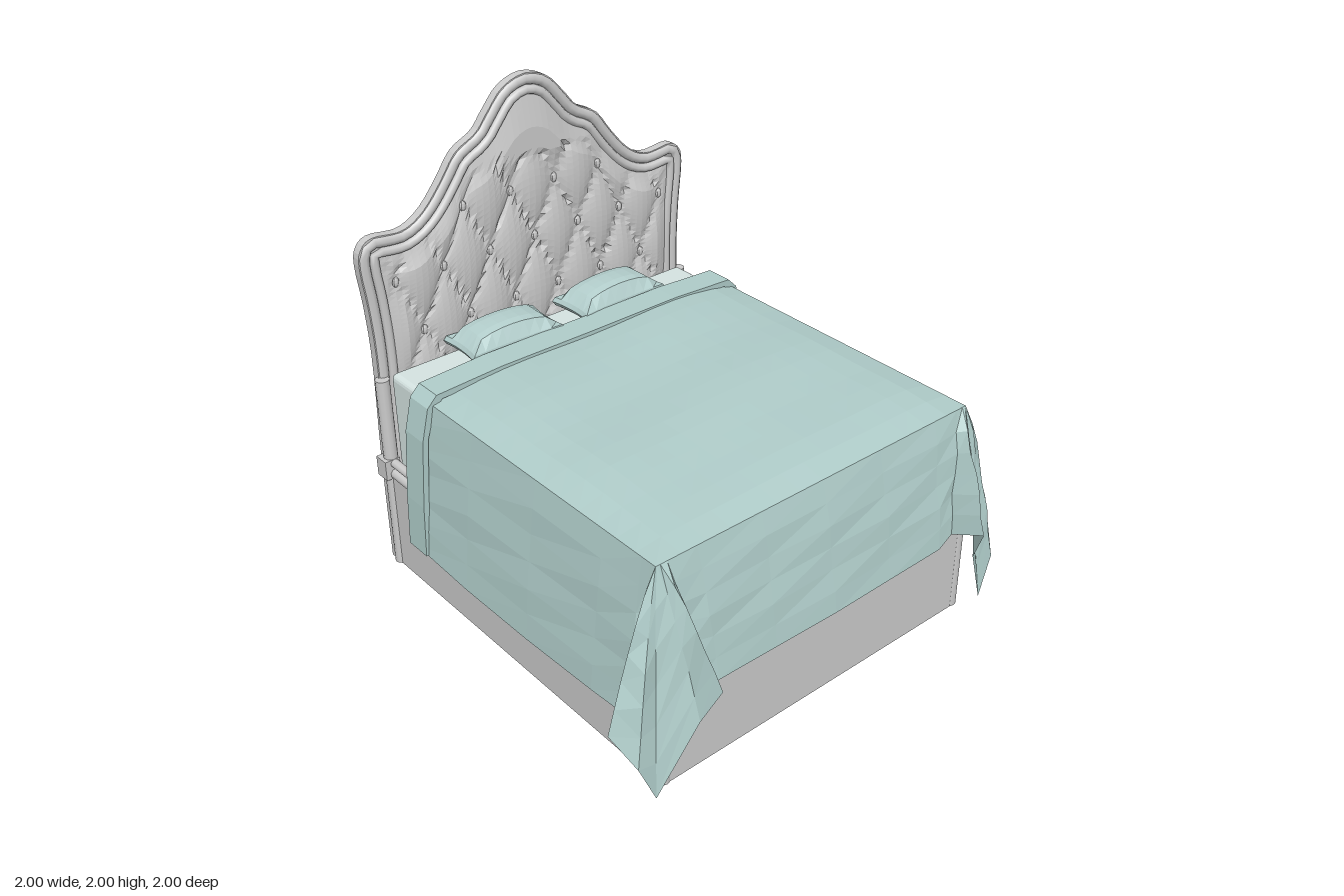
import * as THREE from 'three';
import { RoundedBoxGeometry } from 'three/addons/geometries/RoundedBoxGeometry.js';

const mat = (color, extra = {}) => new THREE.MeshStandardMaterial({ color, flatShading: true, ...extra });
const grey = mat(0xcccccc);
const greySoft = mat(0xcccccc, { flatShading: false });
const greyThin = mat(0xcccccc, { side: THREE.DoubleSide });
const cloth = mat(0xb0cdca, { side: THREE.DoubleSide });
const pillowCloth = mat(0xb4cfcd);
const sheet = mat(0xd6e4e2);

export function createModel() {
  const bed = new THREE.Group();
  bed.name = 'bed';

  const add = (name, geometry, material, x = 0, y = 0, z = 0) => {
    const mesh = new THREE.Mesh(geometry, material);
    mesh.name = name;
    mesh.position.set(x, y, z);
    bed.add(mesh);
    return mesh;
  };
  const box = (name, w, h, d, x, y, z, m = grey) => add(name, new THREE.BoxGeometry(w, h, d), m, x, y, z);

  // Grid surface: fn(i, j) returns the point at column i, row j
  const surface = (cols, rows, fn) => {
    const pos = [], idx = [];
    for (let j = 0; j <= rows; j++) for (let i = 0; i <= cols; i++) pos.push(...fn(i, j));
    for (let j = 0; j < rows; j++) for (let i = 0; i < cols; i++) {
      const a = j * (cols + 1) + i, b = a + 1, c = a + cols + 1, d = c + 1;
      idx.push(a, b, d, a, d, c);
    }
    const g = new THREE.BufferGeometry();
    g.setAttribute('position', new THREE.Float32BufferAttribute(pos, 3));
    g.setIndex(idx);
    g.computeVertexNormals();
    return g;
  };

  // Open-bottomed base with a slab inside
  box('footPanel', 1.56, 0.45, 0.05, 0, 0.225, 0.79);
  box('baseSlab', 1.52, 0.03, 1.74, 0, 0.45, -0.08);
  for (const s of [-1, 1]) {
    const side = s > 0 ? 'left' : 'right';
    box(side + 'SidePanel', 0.05, 0.45, 1.76, s * 0.775, 0.225, -0.09);
    add(side + 'FrontPost', new THREE.CylinderGeometry(0.035, 0.035, 0.45, 12), greySoft, s * 0.778, 0.225, 0.785);
    add(side + 'BackPost', new THREE.CylinderGeometry(0.03, 0.03, 0.9, 12), greySoft, s * 0.785, 0.45, -0.945);
    box(side + 'RailCollar', 0.07, 0.09, 0.07, s * 0.795, 0.485, -0.95);
    // Two stacked beads along the top of each side
    for (const [y, r] of [[0.46, 0.025], [0.51, 0.02]])
      add(side + 'RailBead', new THREE.CylinderGeometry(r, r, 1.74, 10).rotateX(Math.PI / 2), greySoft, s * 0.785, y, -0.09);
  }
  for (const [y, r] of [[0.46, 0.025], [0.505, 0.02]])
    add('footRailBead', new THREE.CylinderGeometry(r, r, 1.56, 10).rotateZ(Math.PI / 2), greySoft, 0, y, 0.79);

  // Mattress
  add('mattress', new RoundedBoxGeometry(1.52, 0.47, 1.66, 2, 0.025), sheet, 0, 0.695, -0.09);

  // Headboard outline: right half points, mirrored to the other side
  const half = [[0.80, 0], [0.80, 0.5], [0.79, 0.95], [0.80, 1.2], [0.82, 1.4], [0.805, 1.475], [0.75, 1.51],
    [0.62, 1.5], [0.52, 1.55], [0.43, 1.65], [0.35, 1.755], [0.25, 1.81], [0.19, 1.88], [0.11, 1.965], [0, 2]];
  const outlinePts = [...half, ...half.slice(0, -1).reverse().map(([x, y]) => [-x, y])]
    .map(([x, y]) => new THREE.Vector2(x, y));
  const spline = new THREE.SplineCurve(outlinePts);
  const inset = (d, n = 90) => Array.from({ length: n + 1 }, (_, i) => {
    const p = spline.getPoint(i / n), t = spline.getTangent(i / n);
    return new THREE.Vector2(p.x - t.y * d, p.y + t.x * d);
  });
  add('headboardBack', new THREE.ExtrudeGeometry(new THREE.Shape(inset(0)), { depth: 0.04, bevelEnabled: false }),
    grey, 0, 0, -1);
  for (const [name, d, r, z] of [['headboardOuterMoulding', 0.026, 0.026, -0.972], ['headboardInnerMoulding', 0.068, 0.02, -0.96]]) {
    const path = new THREE.CatmullRomCurve3(inset(d, 60).map(p => new THREE.Vector3(p.x, Math.max(p.y, 0), z)));
    add(name, new THREE.TubeGeometry(path, 120, r, 8), greySoft);
  }

  // Diamond-tufted padding under the inset outline
  const edge = inset(0.07, 200);
  const topAt = x => {
    let y = 1.4;
    for (let i = 0; i < edge.length - 1; i++) {
      const p = edge[i], q = edge[i + 1];
      if (p.y > 1.3 && (x - p.x) * (x - q.x) <= 0 && p.x !== q.x)
        y = Math.max(y, p.y + (q.y - p.y) * (x - p.x) / (q.x - p.x));
    }
    return y;
  };
  const cols = 52, rows = 48;
  add('tuftedPadding', surface(cols, rows, (i, j) => {
    const x = (i / cols * 2 - 1) * 0.735, y = 0.5 + (topAt(x) - 0.5) * j / rows;
    const a = x / 0.225 + (y - 1.3) / 0.47, b = x / 0.225 - (y - 1.3) / 0.47;
    const puff = y > 1.66 ? 0.8 : Math.pow(Math.abs(Math.sin(Math.PI * a) * Math.sin(Math.PI * b)), 0.4);
    const rim = Math.min(1, (rows - j) / 5, i / 3, (cols - i) / 3);
    return [x, y, -0.958 + 0.034 * puff * rim];
  }), greyThin);
  // Buttons at the corners of the diamonds
  for (const [y, xs] of [[1.05, [0.11, 0.34, 0.565]], [1.3, [0, 0.225, 0.45, 0.675]], [1.53, [0.11, 0.34]]])
    for (const x of xs) for (const s of x ? [-1, 1] : [1])
      add('button', new THREE.SphereGeometry(0.016, 8, 6).scale(1, 1.4, 0.6), grey, s * x, y, -0.948);

  // Blanket top, softly crowned with faint wrinkles
  add('blanketTop', surface(14, 14, (i, j) => {
    const u = i / 7 - 1, v = j / 14, x = 0.78 * u, z = 0.77 - 1.46 * v;
    const crown = (1 - Math.pow(u, 6)) * (1 - Math.pow(1 - v, 8));
    return [x, 0.945 + crown * (0.04 + 0.009 * Math.sin(5 * x + 7 * z) * Math.cos(4 * z - 3 * x)), z];
  }), cloth);

  // Blanket drape: [rim x, rim z, hem x, hem y, hem z] from back to front centre, flaring into a folded corner
  const drape = [
    [0.78, -0.69, 0.865, 0.27, -0.68], [0.78, -0.3, 0.865, 0.255, -0.3], [0.78, 0.1, 0.865, 0.26, 0.1],
    [0.78, 0.5, 0.865, 0.28, 0.5], [0.78, 0.7, 0.86, 0.29, 0.71], [0.78, 0.74, 0.83, 0.34, 0.73],
    [0.78, 0.77, 1, 0.33, 0.77], [0.78, 0.77, 0.94, 0.2, 0.86], [0.78, 0.77, 0.87, 0.03, 0.87],
    [0.775, 0.77, 0.72, 0.34, 0.93], [0.76, 0.77, 0.68, 0.5, 1], [0.73, 0.77, 0.66, 0.44, 0.86],
    [0.6, 0.77, 0.58, 0.41, 0.87], [0.3, 0.77, 0.3, 0.405, 0.87], [0, 0.77, 0, 0.405, 0.875]];
  const skirt = [...drape.map(([a, ...r]) => [-a, r[0], -r[1], r[2], r[3]]), ...drape.slice(0, -1).reverse()];
  add('blanketDrape', surface(skirt.length - 1, 6, (i, j) => {
    const [rx, rz, hx, hy, hz] = skirt[i], t = 1 - j / 6, h = Math.pow(t, 0.8);
    const ripple = 0.006 * Math.sin(i * 2.3 + j * 1.7) * Math.sin(Math.PI * t);
    return [rx + (hx - rx) * h + Math.sign(rx) * ripple, 0.945 + (hy - 0.945) * t, rz + (hz - rz) * h + ripple];
  }), cloth);

  // Folded cuff across the head end of the blanket
  const cuffHalf = [[0.875, 0.27], [0.865, 0.5], [0.84, 0.8], [0.805, 0.94], [0.76, 0.985], [0.45, 1], [0, 0.998]];
  const strip = d => {
    const h = cuffHalf.map(([x, y]) => new THREE.Vector2(x - (x ? d : 0), y - (y > 0.9 ? d : 0)));
    return [...h, ...h.slice(0, -1).reverse().map(p => new THREE.Vector2(-p.x, p.y))];
  };
  add('blanketCuff', new THREE.ExtrudeGeometry(new THREE.Shape([...strip(0), ...strip(0.025).reverse()]),
    { depth: 0.125, bevelEnabled: false }), cloth, 0, 0, -0.695);

  // Pillows: boxes puffed in the middle and pinched to the seam
  for (const s of [-1, 1]) {
    const g = new THREE.BoxGeometry(2, 2, 2, 8, 4, 6), p = g.attributes.position;
    for (let i = 0; i < p.count; i++) {
      const x = p.getX(i), y = p.getY(i), z = p.getZ(i);
      const puff = 0.22 + 0.78 * Math.sqrt((1 - x * x) * (1 - Math.pow(z, 4)));
      const pull = 1 - 0.05 * Math.abs(y);
      p.setXYZ(i, 0.225 * x * pull * (1 - 0.05 * (1 - z * z)), 0.085 * y * puff,
        0.115 * z * pull * (1 - 0.08 * (1 - x * x)));
    }
    g.computeVertexNormals();
    const pillow = add(s > 0 ? 'leftPillow' : 'rightPillow', g, pillowCloth, s * 0.275, 0.985, -0.803);
    pillow.rotation.y = s * 0.03;
  }
  return bed;
}
